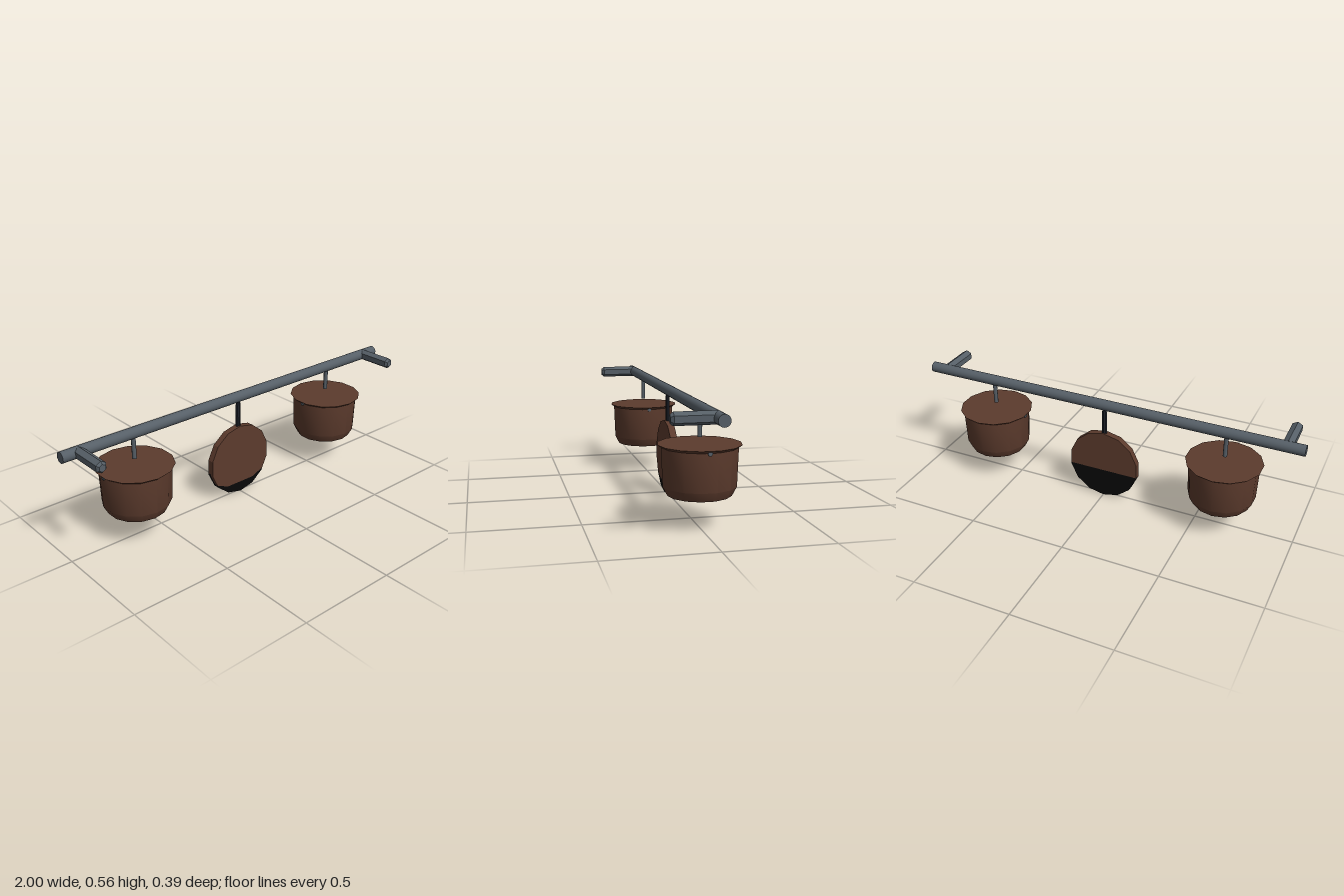
import * as THREE from 'three';
import { toCreasedNormals } from 'three/addons/utils/BufferGeometryUtils.js';

const mat = (name, color) => {
  const m = new THREE.MeshStandardMaterial({ color });
  m.name = name;
  return m;
};
const CZ = -0.005; // depth of the rail axis

export function createModel() {
  const steel = mat('steel grey', 0x565f67);
  const copper = mat('dark copper', 0x5c3b2d);
  const soot = mat('black', 0x080808);
  const darkIron = mat('dark iron', 0x1c2028);

  const model = new THREE.Group();
  model.name = 'hangingPotRack';
  const add = (parent, name, geometry, material, x = 0, y = 0, z = 0) => {
    const mesh = new THREE.Mesh(geometry, material);
    mesh.name = name;
    mesh.position.set(x, y, z);
    parent.add(mesh);
    return mesh;
  };
  // Turned part from [radius, height] pairs, listed bottom to top
  const turned = (points, sides) => toCreasedNormals(
    new THREE.LatheGeometry(points.map(p => new THREE.Vector2(...p)), sides), 0.6);

  // Long horizontal rail
  add(model, 'rail', new THREE.CylinderGeometry(0.027, 0.027, 2, 20).rotateZ(Math.PI / 2),
    steel, 0, 0.53, CZ);

  for (const side of [-1, 1]) {
    // Hexagonal bracket with a chamfered end
    add(model, 'bracket', turned([[0, 0], [0.029, 0], [0.029, 0.182], [0.018, 0.195], [0, 0.195]], 6)
      .rotateX(Math.PI / 2), steel, side * 0.914, 0.531, 0);

    // Pot with flared rim, hanging rod and a cross pin under the rim
    const pot = new THREE.Group();
    pot.name = 'pot';
    pot.position.set(side * 0.628, 0, CZ);
    model.add(pot);
    add(pot, 'potBody', turned([[0, 0.145], [0.144, 0.145], [0.166, 0.187], [0.172, 0.36],
      [0.188, 0.372], [0, 0.372]], 14), copper);
    add(pot, 'hangingRod', new THREE.CylinderGeometry(0.011, 0.011, 0.12, 8), steel, 0, 0.461, 0);
    add(pot, 'crossPin', new THREE.CylinderGeometry(0.011, 0.011, 0.35, 6).rotateZ(Math.PI / 2),
      steel, 0, 0.359, 0);
  }

  // Flat pan hanging upright
  const pan = new THREE.Group();
  pan.name = 'pan';
  pan.position.z = CZ;
  model.add(pan);
  const R = 0.187;
  const rim = i => [R * Math.sin(i * Math.PI / 7), R - R * Math.cos(i * Math.PI / 7)];
  const rimAt = t => { // point on the rim, t counted in corners from the bottom
    const i = Math.floor(t), a = rim(i), b = rim(i + 1), f = t - i;
    return [a[0] + (b[0] - a[0]) * f, a[1] + (b[1] - a[1]) * f];
  };
  const slab = (name, pts, z, depth, material) => add(pan, name,
    new THREE.ExtrudeGeometry(new THREE.Shape(pts.map(p => new THREE.Vector2(...p))),
      { depth, bevelEnabled: false }), material, 0, 0, z);
  // Each layer is split into a copper top and a blackened bottom
  const layer = (name, t, dip, z, depth) => {
    const low = [], high = [];
    for (let i = -Math.floor(t); i <= Math.floor(t); i++) low.push(rim(i));
    for (let i = Math.floor(t) + 1; i <= 13 - Math.floor(t); i++) high.push(rim(i));
    const right = rimAt(t), left = [-right[0], right[1]];
    slab(name + 'Bottom', [left, ...low, right, ...dip], z, depth, soot);
    slab(name + 'Top', [right, ...high, left, ...[...dip].reverse()], z, depth, copper);
  };
  layer('panFront', 2.2, [[0.085, 0.055], [-0.085, 0.055]], 0, 0.017);
  layer('panBack', 3.1, [], -0.017, 0.017);

  // Pan handle, narrowing where it meets the rail
  add(pan, 'panHandle', turned([[0, 0.365], [0.014, 0.365], [0.014, 0.485], [0.009, 0.508], [0, 0.508]], 8)
    .scale(1, 1, 0.8), darkIron);

  return model;
}
